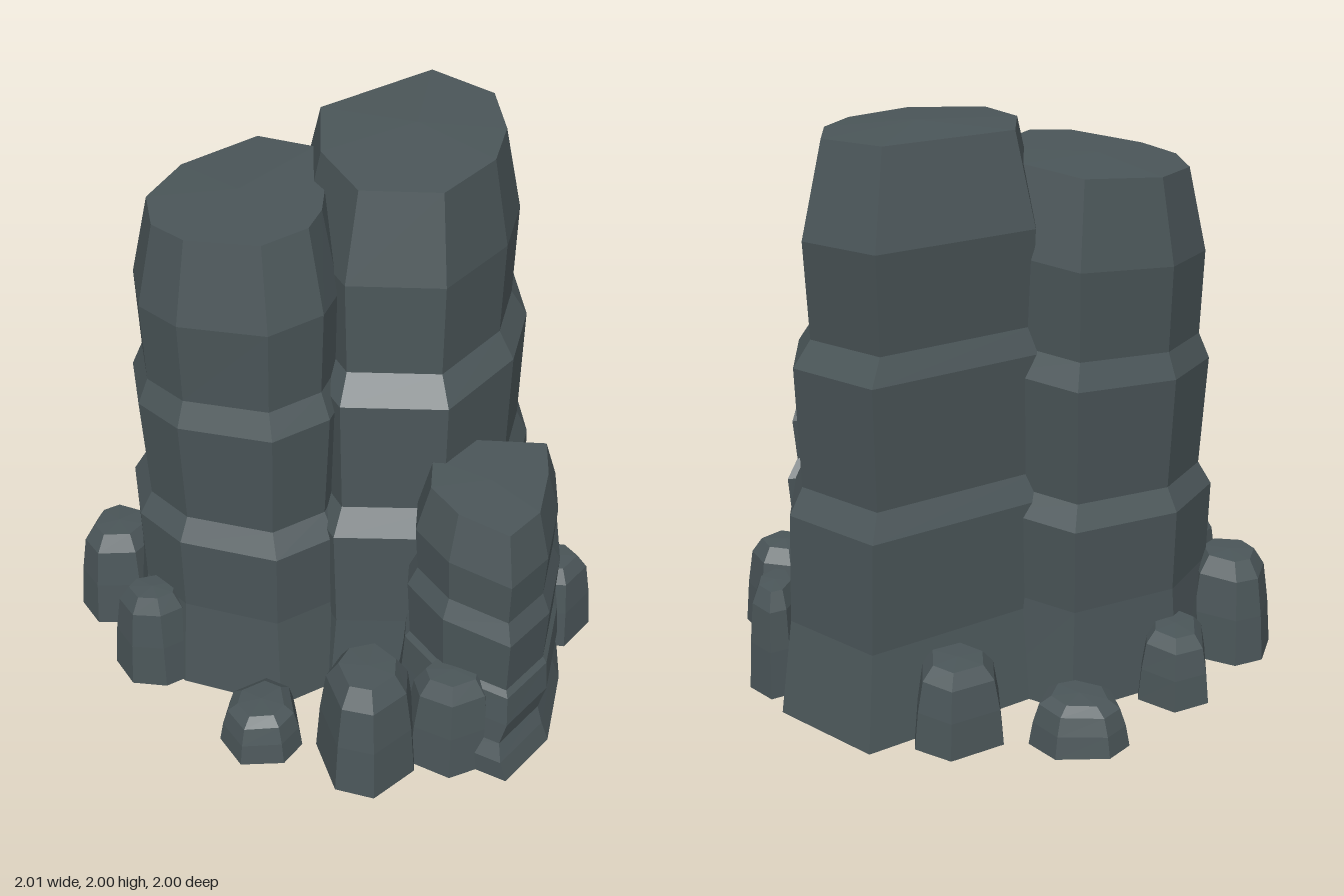
import * as THREE from 'three';

// Faceted loft: outline is [x, z] points around a centre, rings are [y, scale, xShift, zShift],
// tilt [tx, tz] slopes the rings more the higher they sit.
function loft(outline, centre, rings, tilt = [0, 0], crown = 0.015) {
  const [cx, cz] = centre;
  const n = outline.length;
  const top = rings[rings.length - 1][0];
  const pos = [];
  const tri = (...pts) => pts.forEach((p) => pos.push(...p));
  const loops = rings.map(([y, s, dx = 0, dz = 0]) =>
    outline.map(([x, z]) => {
      const ox = (x - cx) * s, oz = (z - cz) * s;
      const lean = y > 0 ? y / top : 0;
      return [cx + dx + ox, y + lean * (ox * tilt[0] + oz * tilt[1]), cz + dz + oz];
    }));
  const last = loops.length - 1;
  const base = [cx, 0, cz], peak = [cx, top + crown, cz];
  for (let i = 0; i < n; i++) {
    const j = (i + 1) % n;
    for (let k = 0; k < last; k++) {
      const a = loops[k][i], b = loops[k][j], c = loops[k + 1][i], d = loops[k + 1][j];
      tri(a, c, b);
      tri(b, c, d);
    }
    tri(peak, loops[last][j], loops[last][i]);
    tri(base, loops[0][i], loops[0][j]);
  }
  const g = new THREE.BufferGeometry();
  g.setAttribute('position', new THREE.Float32BufferAttribute(pos, 3));
  g.computeVertexNormals();
  return g;
}

export function createModel() {
  const group = new THREE.Group();
  const stone = new THREE.MeshStandardMaterial({ color: 0x4b5659 });
  stone.name = 'slate stone';
  const add = (name, geometry) => {
    const mesh = new THREE.Mesh(geometry, stone);
    mesh.name = name;
    group.add(mesh);
  };

  // Tall column, stepped in at each ledge
  add('tallColumn', loft(
    [[0.59, -0.27], [0.54, -0.04], [0.36, 0.2], [0.08, 0.2], [-0.05, -0.06], [-0.06, -0.39],
      [0.34, -0.72], [0.56, -0.54]],
    [0.28, -0.26],
    [[0, 1.54, 0.02, 0], [0.32, 1.43, 0.02, 0.03], [0.71, 1.43, 0.01, 0.03], [0.8, 1.29, 0.01, 0.03],
      [1.23, 1.33, 0.01, 0.01], [1.32, 1.17], [1.66, 1.21, 0, -0.025], [1.98, 1]],
    [-0.02, -0.02], 0.02));

  // Middle column
  add('middleColumn', loft(
    [[-0.04, 0.16], [-0.08, 0.28], [-0.23, 0.375], [-0.49, 0.29], [-0.61, 0.16], [-0.65, -0.05], [-0.55, -0.28],
      [-0.29, -0.46], [-0.08, -0.33], [-0.03, -0.1]],
    [-0.33, -0.03],
    [[0, 1.42], [0.36, 1.32], [0.66, 1.35], [0.74, 1.2], [1.15, 1.28], [1.24, 1.16], [1.55, 1.2], [1.845, 1]],
    [0.11, 0.02], 0.01));

  // Short column
  add('shortColumn', loft(
    [[0.76, 0.19], [0.755, 0.36], [0.71, 0.58], [0.6, 0.72], [0.43, 0.63], [0.34, 0.5], [0.35, 0.34], [0.5, 0.21]],
    [0.55, 0.44],
    [[0, 1.5, 0, 0.05], [0.08, 1.46, -0.02, 0.05], [0.14, 1.36, -0.02, 0.04], [0.23, 1.4, 0, 0.03],
      [0.34, 1.36, 0, 0.02], [0.36, 1.28, 0, 0.02], [0.57, 1.34, 0, 0.01],
      [0.64, 1.18, 0, 0.01], [0.8, 1.23], [0.975, 1]],
    [-0.1, -0.03], 0.01));

  // Boulders around the foot: x, z, x radius, z radius, height, sides, turn
  const boulders = [
    [-0.84, -0.06, 0.17, 0.19, 0.39, 7, 2.9],
    [-0.67, 0.33, 0.16, 0.13, 0.39, 7, 0.4],
    [-0.25, 0.69, 0.155, 0.18, 0.17, 7, 0.2],
    [0.13, 0.78, 0.185, 0.225, 0.43, 7, 1.4],
    [0.43, 0.74, 0.17, 0.16, 0.38, 7, 0.7],
    [0.84, 0.06, 0.16, 0.15, 0.34, 6, 0.1],
    [0.79, -0.43, 0.1, 0.17, 0.39, 7, 0.3],
    [0.11, -0.81, 0.17, 0.19, 0.29, 6, 1.5],
    [-0.3, -0.82, 0.175, 0.165, 0.17, 7, 0.6],
    [-0.63, -0.42, 0.15, 0.2, 0.25, 6, 1.6],
  ];
  boulders.forEach(([x, z, rx, rz, h, sides, turn], i) => {
    const outline = Array.from({ length: sides }, (_, k) => {
      const a = turn + (k / sides) * Math.PI * 2 + 0.12 * Math.sin(k * 2.3 + i);
      return [x + rx * Math.cos(a), z + rz * Math.sin(a)];
    });
    add('boulder' + (i + 1), loft(outline, [x, z],
      [[0, 1], [h * 0.45, 0.92], [h * 0.82, 0.8], [h * 0.98, 0.56]], [0.05, 0.04], 0.005));
  });

  return group;
}
